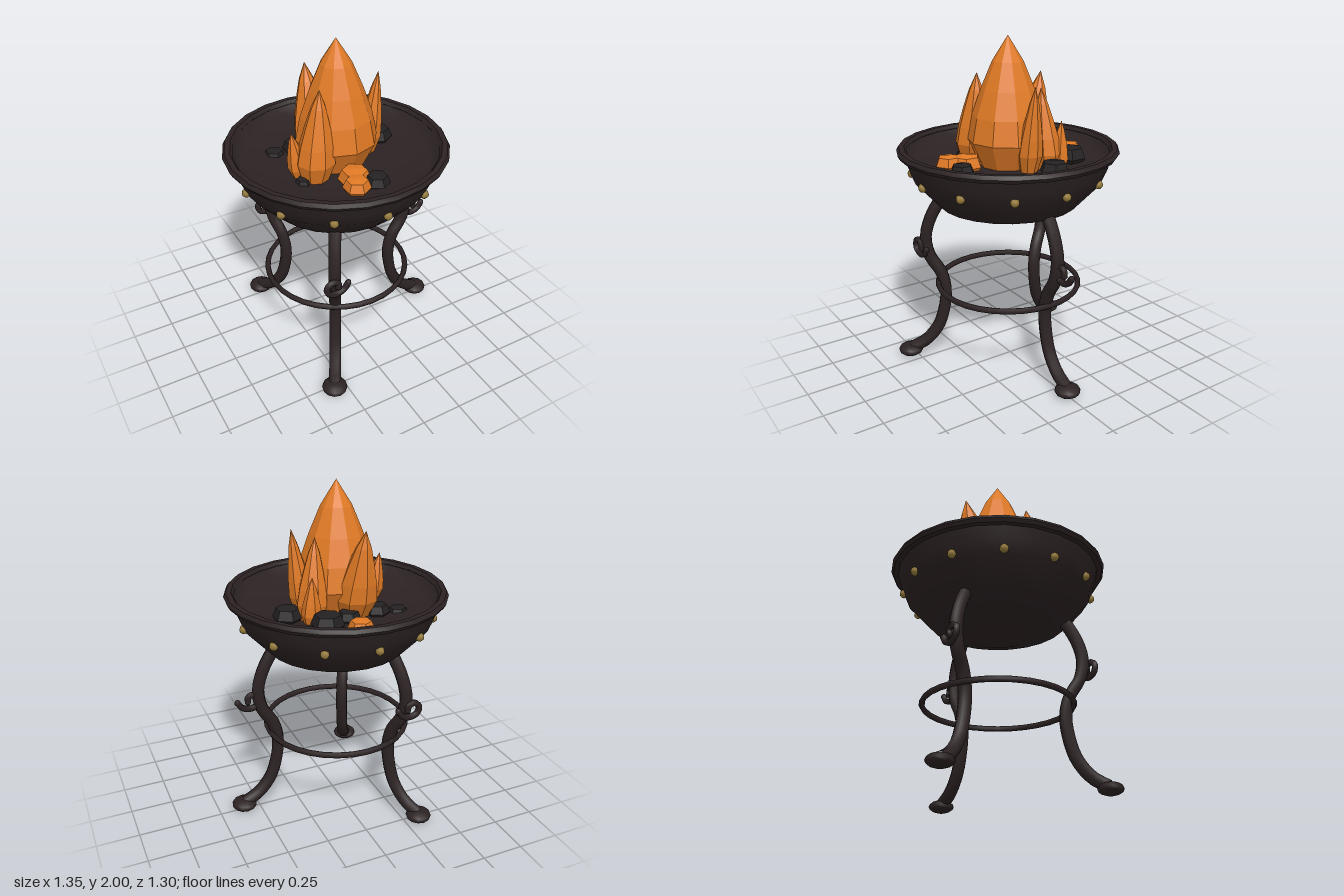
import * as THREE from 'three';
import { toCreasedNormals } from 'three/addons/utils/BufferGeometryUtils.js';

const material = (name, color) => {
  const m = new THREE.MeshStandardMaterial({ color });
  m.name = name;
  return m;
};

export function createModel() {
  const iron = material('dark iron', 0x2c2223);
  const coal = material('black coal', 0x242122);
  const fire = material('orange fire', 0xe07a25);
  const brass = material('brass', 0x94793a);

  const model = new THREE.Group();
  model.name = 'firePit';
  const body = new THREE.Group();
  body.name = 'body';
  body.position.x = -0.022;
  model.add(body);

  const add = (name, geometry, mat, x = 0, y = 0, z = 0) => {
    const mesh = new THREE.Mesh(geometry, mat);
    mesh.name = name;
    mesh.position.set(x, y, z);
    body.add(mesh);
    return mesh;
  };
  const lathe = (points, sides) =>
    new THREE.LatheGeometry(points.map(([r, y]) => new THREE.Vector2(r, y)), sides);
  const faceted = (g) => toCreasedNormals(g, 0.05);

  // Bowl outside, from the flat bottom up
  add('bowl', toCreasedNormals(lathe([
    [0, 0.944], [0.19, 0.944], [0.415, 1.027], [0.555, 1.178], [0.585, 1.25], [0.612, 1.34],
  ], 24), 0.8), iron);

  // Shallow fire bed with soft shading up to the wall
  add('fireBed', lathe([[0.6, 1.355], [0.545, 1.28], [0.3, 1.258], [0, 1.25]], 24), iron);

  // Rolled rim
  add('rim', toCreasedNormals(lathe([
    [0.592, 1.35], [0.607, 1.328], [0.638, 1.328], [0.651, 1.35],
    [0.638, 1.372], [0.607, 1.372], [0.592, 1.35],
  ], 24), 0.5), iron);

  // Studs around the bowl
  for (let i = 0; i < 12; i++) {
    const a = (i / 12) * Math.PI * 2;
    add('stud', new THREE.SphereGeometry(0.026, 8, 6), brass,
      Math.sin(a) * 0.567, 1.203, Math.cos(a) * 0.567);
  }

  // Legs with feet and curls
  const legPath = [
    [0.385, 1.06], [0.41, 1.03], [0.47, 0.92], [0.5, 0.8], [0.48, 0.68], [0.415, 0.57],
    [0.388, 0.46], [0.397, 0.34], [0.44, 0.2], [0.52, 0.1], [0.61, 0.05],
  ];
  const curlPath = new THREE.CatmullRomCurve3([
    [0.088, 0.008], [0.06, -0.03], [0.01, -0.045], [-0.037, -0.027],
    [-0.047, 0.015], [-0.015, 0.042], [0.022, 0.032], [0.025, 0],
  ].map(([x, y]) => new THREE.Vector3(x, y, 0)));
  for (let i = 0; i < 3; i++) {
    const a = (i / 3) * Math.PI * 2;
    const c = Math.cos(a), s = Math.sin(a);
    const curve = new THREE.CatmullRomCurve3(
      legPath.map(([r, y]) => new THREE.Vector3(r * c, y, r * s)));
    add('leg', new THREE.TubeGeometry(curve, 28, 0.038, 8), iron);
    const foot = add('foot', new THREE.SphereGeometry(0.076, 12, 8), iron, 0.62 * c, 0.038, 0.62 * s);
    foot.scale.y = 0.5;
    const curl = add('curl', new THREE.TubeGeometry(curlPath, 24, 0.019, 6), iron, 0.54 * c, 0.738, 0.54 * s);
    // Closed ends of the curl
    for (const t of [0, 1]) {
      const end = new THREE.Mesh(new THREE.SphereGeometry(0.019, 6, 5), iron);
      end.name = 'curlEnd';
      end.position.copy(curlPath.getPoint(t));
      curl.add(end);
    }
  }

  // Bracing ring between the legs
  add('braceRing', new THREE.TorusGeometry(0.433, 0.017, 6, 32), iron, 0, 0.502, 0).rotation.x = Math.PI / 2;

  // Flames: faceted teardrops whose tips lean sideways
  const baseY = 1.25;
  const flame = (x, z, radius, top, leanX, leanZ, sides = 8) => {
    const h = top - baseY;
    const g = lathe([[0, 0], [0.68, 0], [1, 0.21], [0.88, 0.4], [0.66, 0.6], [0.38, 0.81], [0, 1]]
      .map(([r, t]) => [r * radius, t * h]), sides);
    const p = g.attributes.position;
    for (let i = 0; i < p.count; i++) {
      const t = p.getY(i) / h;
      p.setX(i, p.getX(i) + leanX * t);
      p.setZ(i, p.getZ(i) + leanZ * t);
    }
    add('flame', faceted(g), fire, x, baseY, z);
  };
  flame(0, 0.005, 0.235, 2.0, 0, -0.005, 10);
  flame(-0.2, 0.12, 0.112, 1.78, 0.04, -0.01);
  flame(-0.045, -0.155, 0.12, 1.77, -0.01, -0.115);
  flame(0.205, -0.005, 0.072, 1.75, 0.067, 0.005);
  flame(0.21, -0.135, 0.09, 1.72, -0.035, 0.03);
  flame(0.235, -0.19, 0.058, 1.53, 0, -0.02, 6);
  flame(-0.265, 0.06, 0.058, 1.53, -0.04, -0.01, 6);

  // Coals: squat six-sided lumps [x, y, z, radius]
  const lump = (name, mat, [x, y, z, r]) =>
    add(name, faceted(lathe([
      [0, -0.6], [0.7, -0.55], [1, -0.1], [0.76, 0.5], [0, 0.62],
    ].map(([a, b]) => [a * r, b * r]), 6)), mat, x, y, z);
  [[0.04, 1.29, -0.42, 0.075], [-0.07, 1.295, 0.36, 0.08], [-0.03, 1.285, 0.265, 0.095]]
    .forEach((c) => lump('glowingCoal', fire, c));
  [[0.19, 1.3, -0.315, 0.095], [0.335, 1.285, -0.09, 0.088], [-0.29, 1.25, -0.222, 0.063],
    [-0.165, 1.28, -0.21, 0.072], [0.065, 1.28, 0.35, 0.073], [0.03, 1.28, -0.24, 0.07],
    [-0.28, 1.26, 0.14, 0.05]]
    .forEach((c) => lump('darkCoal', coal, c));

  return model;
}
